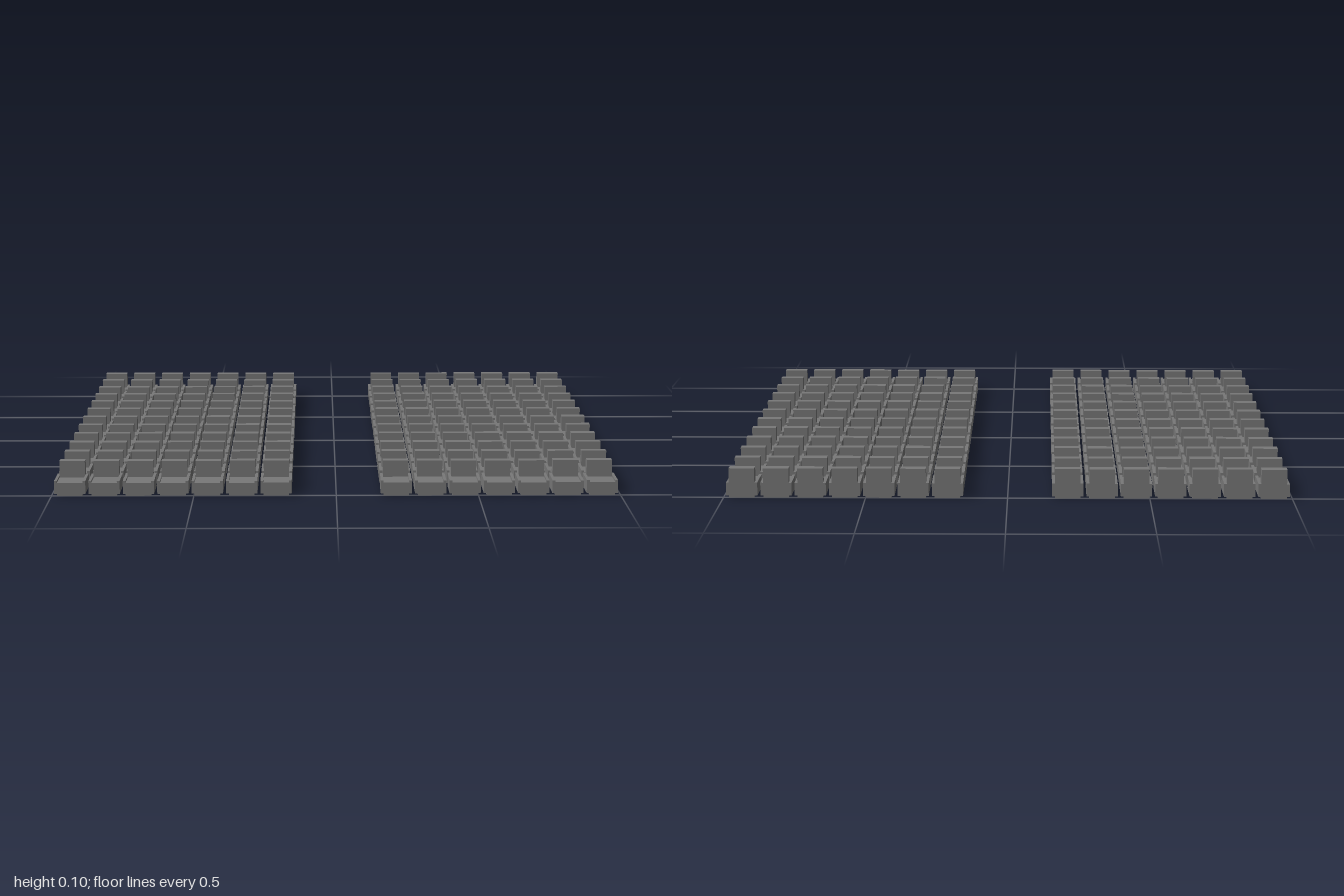
import * as THREE from 'three';

const ROWS = 12, SEATS_PER_ROW = 7;
const PITCH_X = 0.1207, PITCH_Z = 0.1698;
const DEPTH = 0.132;

export function createModel() {
  const model = new THREE.Group();
  model.name = 'seatingBlocks';
  const grey = new THREE.MeshStandardMaterial({ color: 0x787878 });
  grey.name = 'seat grey';

  // Shared geometries, one for each part of a seat
  const cushionGeo = new THREE.BoxGeometry(0.09, 0.046, DEPTH);
  const backGeo = new THREE.BoxGeometry(0.09, 0.105, 0.035);
  const armGeo = new THREE.BoxGeometry(0.01, 0.046, DEPTH);

  const addPart = (parent, name, geo, x, y, z) => {
    const mesh = new THREE.Mesh(geo, grey);
    mesh.name = name;
    mesh.position.set(x, y, z);
    parent.add(mesh);
  };

  // One seat: cushion, upright back and two low armrests
  const makeSeat = () => {
    const seat = new THREE.Group();
    seat.name = 'seat';
    addPart(seat, 'cushion', cushionGeo, 0, 0.023, 0);
    addPart(seat, 'backrest', backGeo, 0, 0.0525, -DEPTH / 2 + 0.0175);
    for (const s of [-1, 1]) {
      addPart(seat, s > 0 ? 'leftArmrest' : 'rightArmrest', armGeo, s * 0.05, 0.03, 0);
    }
    return seat;
  };

  // Two mirrored blocks either side of the aisle
  for (const side of [-1, 1]) {
    const block = new THREE.Group();
    block.name = side > 0 ? 'leftBlock' : 'rightBlock';
    for (let r = 0; r < ROWS; r++) {
      const row = new THREE.Group();
      row.name = 'row' + (r + 1);
      row.position.z = (r - (ROWS - 1) / 2) * PITCH_Z;
      for (let i = 0; i < SEATS_PER_ROW; i++) {
        const seat = makeSeat();
        seat.position.x = side * (0.2115 + i * PITCH_X);
        row.add(seat);
      }
      block.add(row);
    }
    model.add(block);
  }
  return model;
}
